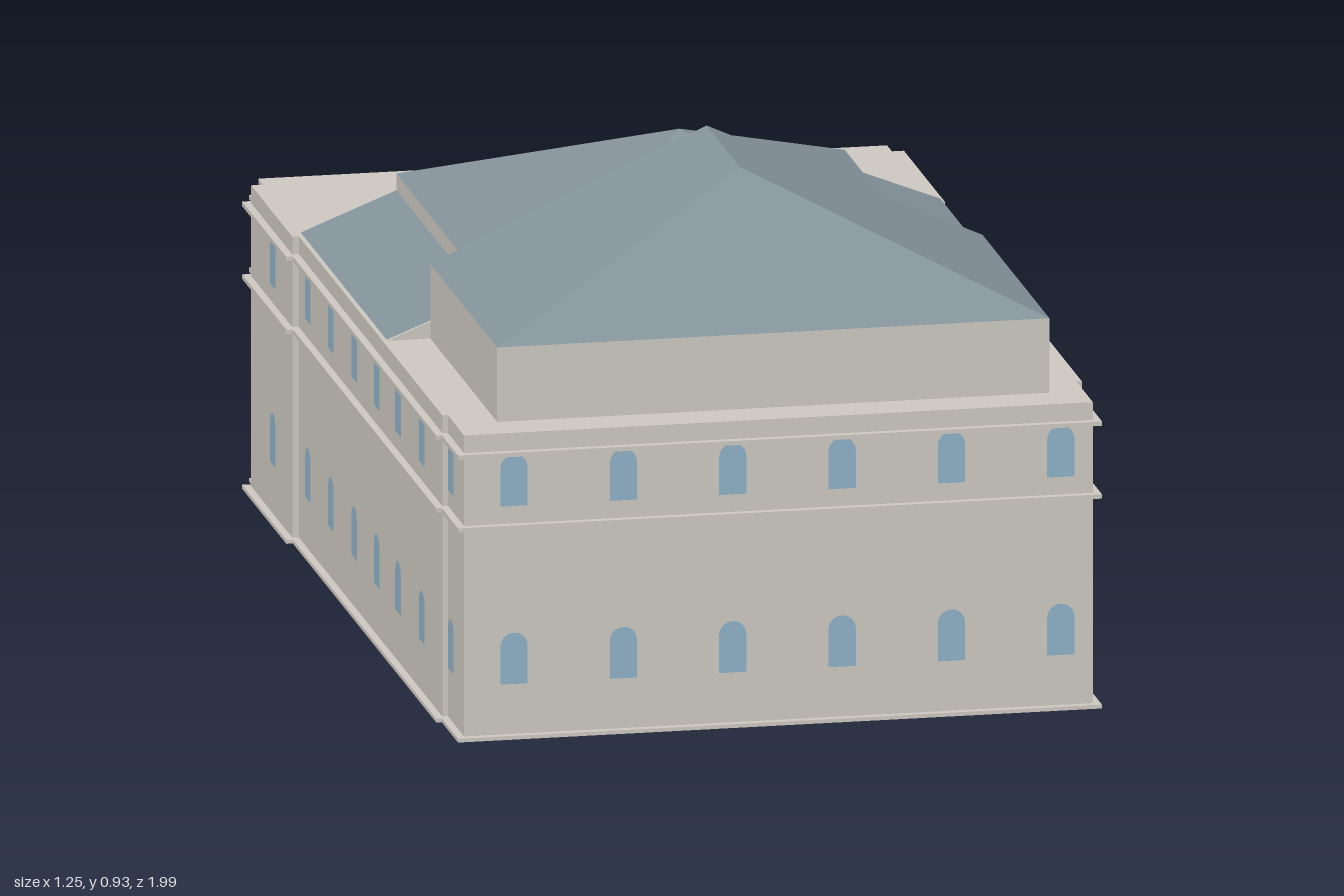
import * as THREE from 'three';

const mat = (color) => new THREE.MeshStandardMaterial({ color, flatShading: true, side: THREE.DoubleSide });

export function createModel() {
  const model = new THREE.Group();
  const stone = mat(0xccc8c0), slate = mat(0x84929a), glass = mat(0x8fb0c8);

  const add = (name, geometry, material, parent = model) => {
    const mesh = new THREE.Mesh(geometry, material);
    mesh.name = name;
    parent.add(mesh);
    return mesh;
  };
  const group = (name) => {
    const g = new THREE.Group();
    g.name = name;
    model.add(g);
    return g;
  };
  // box given by its limits
  const box = (name, x0, x1, y0, y1, z0, z1, parent) => {
    const g = new THREE.BoxGeometry(x1 - x0, y1 - y0, z1 - z0);
    return add(name, g.translate((x0 + x1) / 2, (y0 + y1) / 2, (z0 + z1) / 2), stone, parent);
  };
  // flat-faced surface from convex polygons, each fanned into triangles
  const facets = (polygons) => {
    const p = [];
    for (const f of polygons) {
      for (let i = 1; i < f.length - 1; i++) p.push(...f[0], ...f[i], ...f[i + 1]);
    }
    const g = new THREE.BufferGeometry();
    g.setAttribute('position', new THREE.Float32BufferAttribute(p, 3));
    g.computeVertexNormals();
    return g;
  };

  // stepped floor plan, grown outwards by o, raised from y0 to y1
  const storey = (name, o, y0, y1) => {
    const half = [
      [0.575 + o, 0.968 + o], [0.575 + o, 0.823 + o], [0.585 + o, 0.823 + o], [0.585 + o, -0.45 + o],
      [0.597 + o, -0.45 + o], [0.597 + o, -0.815 - o], [0.575 + o, -0.815 - o], [0.575 + o, -0.858 - o],
    ];
    const plan = [...half, ...half.map(([x, z]) => [-x, z]).reverse()];
    const shape = new THREE.Shape(plan.map(([x, z]) => new THREE.Vector2(x, -z)));
    const g = new THREE.ExtrudeGeometry(shape, { depth: y1 - y0, bevelEnabled: false });
    add(name, g.rotateX(-Math.PI / 2).translate(0, y0, 0), stone);
  };
  storey('walls', 0, 0, 0.565);
  storey('plinth', 0.014, 0, 0.007);
  storey('middleCornice', 0.014, 0.389, 0.397);
  storey('upperCornice', 0.014, 0.524, 0.532);

  // arched windows on all four sides, two rows
  const windows = group('windows');
  const pane = new THREE.Shape();
  pane.moveTo(-0.025, 0).lineTo(0.025, 0).lineTo(0.025, 0.07);
  pane.absarc(0, 0.07, 0.025, 0, Math.PI).lineTo(-0.025, 0);
  const paneGeometry = new THREE.ShapeGeometry(pane, 6);
  const addWindow = (x, z, turn) => {
    for (const y of [0.1, 0.43]) {
      const w = add('window', paneGeometry, glass, windows);
      w.position.set(x, y, z);
      w.rotation.y = turn;
    }
  };
  for (let i = 0; i < 6; i++) {
    const x = -0.484 + 0.2 * i;
    addWindow(x, 0.97, 0);
    addWindow(x - 0.016, -0.86, Math.PI);
  }
  for (const z of [0.86, 0.65, 0.44, 0.25, 0.05, -0.156, -0.36, -0.614]) {
    const x = z > 0.823 ? 0.577 : z > -0.45 ? 0.587 : 0.599;
    for (const s of [1, -1]) addWindow(s * x, z, s * Math.PI / 2);
  }

  // front hall: block, rear gable and half-hipped roof
  const [l, r, b, f] = [-0.498, 0.512, 0.295, 0.888];
  box('frontHallWalls', l, r, 0.565, 0.703, b, f);
  const ridgeB = [0.007, 0.933, b], ridgeF = [0.007, 0.933, 0.59];
  const eave = (x, z) => [x, 0.703, z];
  add('frontHallGable', facets([[eave(r, b), eave(l, b), ridgeB]]), stone);
  add('frontHallRoof', facets([
    [eave(l, f), eave(r, f), ridgeF],
    [eave(r, f), eave(r, b), ridgeB, ridgeF],
    [eave(l, b), eave(l, f), ridgeF, ridgeB],
  ]), slate);

  // middle hall: raised centre with lean-to aisles and a pyramid roof
  const middle = group('middleHall');
  middle.position.x = 0.007;
  const section = [[-0.585, 0.565], [0.585, 0.565], [0.41, 0.634], [0.41, 0.667], [-0.41, 0.667], [-0.41, 0.634]];
  const sectionShape = new THREE.Shape(section.map(([x, y]) => new THREE.Vector2(x, y)));
  const core = new THREE.ExtrudeGeometry(sectionShape, { depth: 0.763, bevelEnabled: false });
  add('middleHallWalls', core.translate(0, 0, -0.468), stone, middle);
  const back = -0.468, lift = 0.002;
  add('aisleRoofs', facets([
    [[0.585, 0.565 + lift, b], [0.585, 0.565 + lift, back], [0.41, 0.634 + lift, back], [0.41, 0.634 + lift, b]],
    [[-0.585, 0.565 + lift, back], [-0.585, 0.565 + lift, b], [-0.41, 0.634 + lift, b], [-0.41, 0.634 + lift, back]],
  ]), slate, middle);
  const base = [[-0.41, 0.667, 0.58], [0.41, 0.667, 0.58], [0.41, 0.667, back], [-0.41, 0.667, back]];
  add('pyramidRoof', facets(base.map((p, i) => [p, base[(i + 1) % 4], [0, 0.865, 0.057]])), slate, middle);

  // rear portico: steps, columns with matching wall piers, entablature and parapet
  const portico = group('portico');
  box('lowerStep', -0.455, 0.455, 0, 0.01, -0.99, -0.85, portico);
  box('upperStep', -0.445, 0.445, 0.01, 0.022, -0.965, -0.85, portico);
  const shaft = new THREE.CylinderGeometry(0.013, 0.015, 0.275, 12).translate(0, 0.2, 0);
  for (let i = 0; i < 8; i++) {
    const x = -0.415 + (0.83 / 7) * i;
    box('columnBase', x - 0.021, x + 0.021, 0.02, 0.065, -0.932, -0.89, portico);
    const column = add('column', shaft, stone, portico);
    column.position.set(x, 0, -0.911);
    box('pierBase', x - 0.021, x + 0.021, 0.02, 0.065, -0.878, -0.85, portico);
    box('pier', x - 0.014, x + 0.014, 0.06, 0.337, -0.866, -0.85, portico);
  }
  box('entablature', -0.435, 0.435, 0.335, 0.4, -0.942, -0.85, portico);
  box('parapet', -0.45, 0.45, 0.4, 0.43, -0.952, -0.927, portico);
  for (const s of [-1, 1]) box('parapetReturn', s * 0.4375 - 0.0125, s * 0.4375 + 0.0125, 0.4, 0.43, -0.927, -0.85, portico);

  // whole building is turned slightly on its site
  model.rotation.y = 0.022;
  return model;
}
